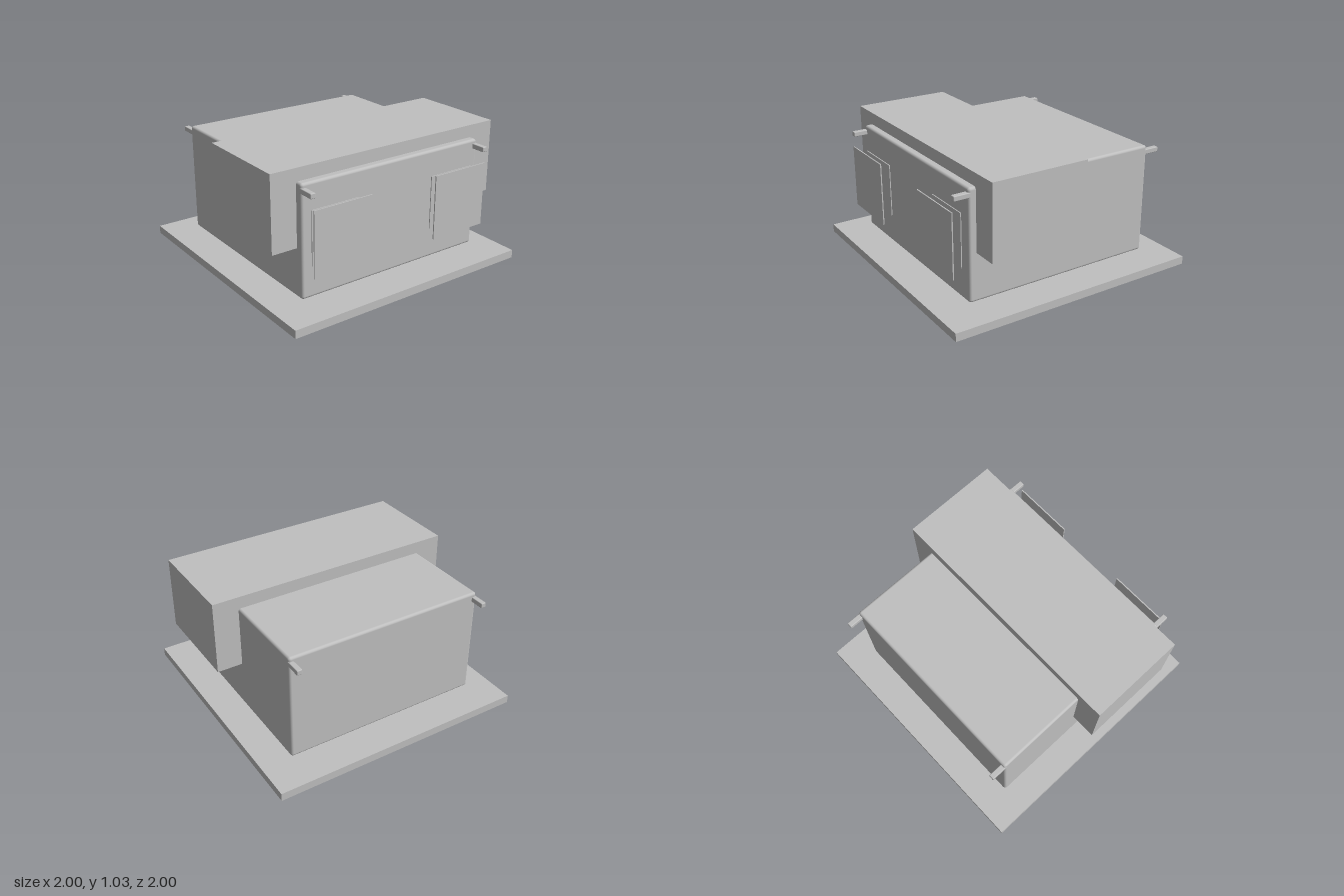
import * as THREE from 'three';
import { RoundedBoxGeometry } from 'three/addons/geometries/RoundedBoxGeometry.js';

export function createModel() {
  const model = new THREE.Group();
  model.name = 'model';
  const grey = new THREE.MeshStandardMaterial({ color: 0xc0c0c0 });
  grey.name = 'plain grey';

  // Box given by its extents on each axis; radius rounds the edges
  function block(name, [x0, x1], [y0, y1], [z0, z1], radius = 0) {
    const size = [x1 - x0, y1 - y0, z1 - z0];
    const geometry = radius
      ? new RoundedBoxGeometry(...size, 3, radius)
      : new THREE.BoxGeometry(...size);
    const mesh = new THREE.Mesh(geometry, grey);
    mesh.name = name;
    mesh.position.set((x0 + x1) / 2, (y0 + y1) / 2, (z0 + z1) / 2);
    model.add(mesh);
  }

  // Ground slab, main body and the wide box laid across its top
  block('baseSlab', [-1, 1], [0, 0.062], [-1, 1]);
  block('body', [-0.782, 0.782], [0.1, 0.94], [-0.76, 0.76], 0.02);
  block('crossBox', [-0.978, 0.978], [0.468, 1.035], [-0.052, 0.703]);

  // Mirrored rails along the top edges and layered front panels
  for (const [side, s] of [['left', 1], ['right', -1]]) {
    const span = (a, b) => (s > 0 ? [a, b] : [-b, -a]);
    block(side + 'Rail', span(0.742, 0.782), [0.871, 0.909], [-0.868, 0.868], 0.006);
    block(side + 'InnerPanel', span(0.328, 0.714), [0.343, 0.75], [0.776, 0.783]);
    block(side + 'OuterPanel', span(0.285, 0.76), [0.303, 0.79], [0.866, 0.875]);
  }
  return model;
}
